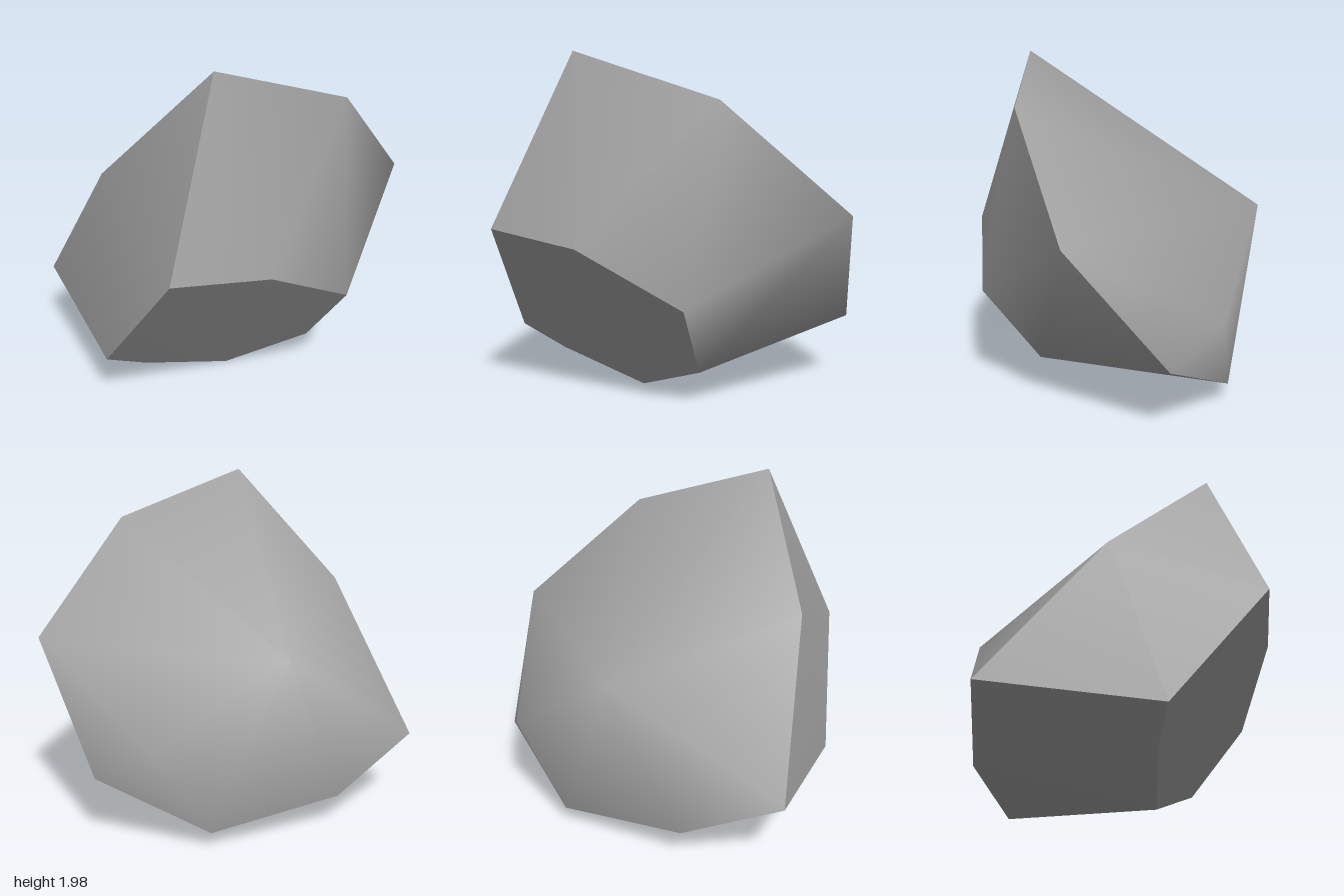
import * as THREE from 'three';
import { mergeVertices } from 'three/addons/utils/BufferGeometryUtils.js';
import { ConvexGeometry } from 'three/addons/geometries/ConvexGeometry.js';

// Corners of the rock
const corners = {
  A: [0.48, 1.975, 0.54], B: [0.64, 1.71, -0.29], C: [0.825, 0.93, 0.455],
  D: [0.85, 0.62, -0.13], E: [0.52, 0.19, -0.17], F: [0.2, 0, 0.21],
  G: [-0.54, 0.1, -0.55], H: [-0.8, 0.19, 0.19], I: [-0.86, 0.45, 0.76],
  J: [-0.8, 1.09, -0.22], K: [0.64, 1.0, 0.98], L: [0.07, 0.31, 1.0],
  M: [-0.18, 1.31, 0.79], P: [0.08, 0.17, 0.735], Q: [0.48, 1.09, -0.995],
  T: [-0.08, 0.4, -1.0], U: [-0.41, 0.6, -0.86],
};

// Cut faces, each bounded by hard edges
const cuts = { frontFacet: 'AMILK', rightFacet: 'KLPFEDC', lowerFrontFacet: 'ILPFH' };

// The remaining skin splits into two smooth shells along this direction
const backLeft = new THREE.Vector3(-0.52, 0.43, -0.74);

function nameOf(p) {
  return Object.keys(corners).find((k) => p.distanceTo(new THREE.Vector3(...corners[k])) < 1e-4);
}

export function createModel() {
  const group = new THREE.Group();
  group.name = 'rock';
  const stone = new THREE.MeshStandardMaterial({ color: 0xa0a0a0 });
  stone.name = 'grey stone';

  const hull = new ConvexGeometry(Object.values(corners).map((c) => new THREE.Vector3(...c)));
  const pos = hull.getAttribute('position');
  const parts = { frontFacet: [], rightFacet: [], lowerFrontFacet: [], backLeftShell: [], rightAndBottomShell: [] };

  // Sort the hull triangles into the parts
  for (let i = 0; i < pos.count; i += 3) {
    const tri = [0, 1, 2].map((j) => new THREE.Vector3().fromBufferAttribute(pos, i + j));
    const names = tri.map(nameOf);
    const normal = new THREE.Triangle(...tri).getNormal(new THREE.Vector3());
    const part = Object.keys(cuts).find((c) => names.every((n) => cuts[c].includes(n)))
      ?? (normal.dot(backLeft) > 0 ? 'backLeftShell' : 'rightAndBottomShell');
    parts[part].push(...tri);
  }

  // Smooth normals inside each part, hard edges between parts
  for (const [name, points] of Object.entries(parts)) {
    if (!points.length) continue;
    const geometry = mergeVertices(new THREE.BufferGeometry().setFromPoints(points));
    geometry.computeVertexNormals();
    const mesh = new THREE.Mesh(geometry, stone);
    mesh.name = name;
    group.add(mesh);
  }
  return group;
}
